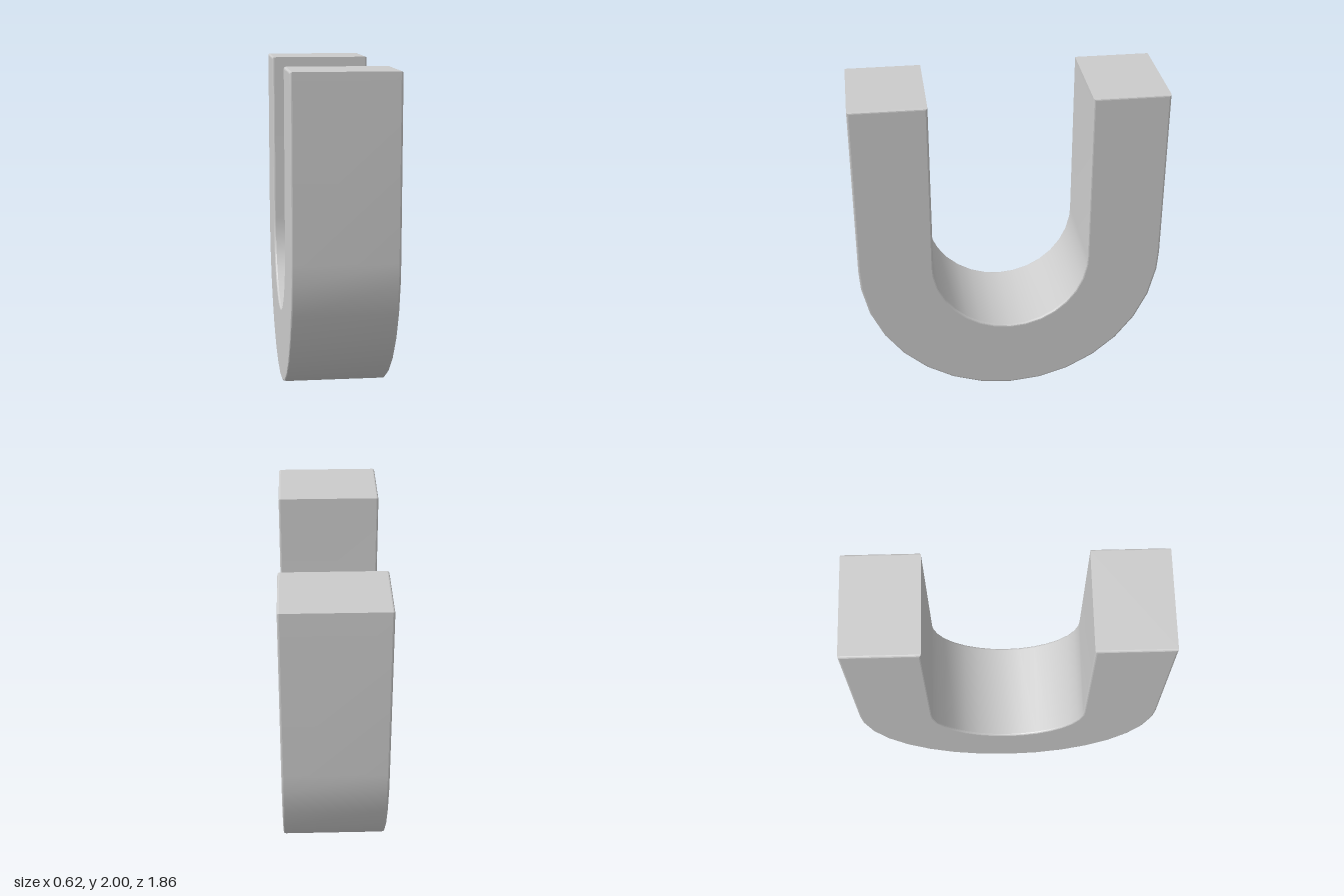
import * as THREE from 'three';
import { toCreasedNormals } from 'three/addons/utils/BufferGeometryUtils.js';

const OUTER = 0.93, INNER = 0.475, CENTRE = 0.932, TOP = 2;
const WIDTH = 0.62, BEVEL = 0.012;

// Half circle under the centre, from one leg to the other, with a vertex at the bottom
function bend(radius) {
  const points = [];
  for (let i = -8; i <= 8; i++) {
    const a = THREE.MathUtils.degToRad(Math.max(-90, Math.min(90, i * 11.75)));
    points.push(new THREE.Vector2(radius * Math.sin(a), CENTRE - radius * Math.cos(a)));
  }
  return points;
}

export function createModel() {
  const group = new THREE.Group();
  group.name = 'uShapedBar';

  // U outline: outer bend, up one leg, back along the inner bend, up the other leg
  const outline = new THREE.Shape([
    new THREE.Vector2(-OUTER, TOP),
    ...bend(OUTER),
    new THREE.Vector2(OUTER, TOP),
    new THREE.Vector2(INNER, TOP),
    ...bend(INNER).reverse(),
    new THREE.Vector2(-INNER, TOP),
  ]);

  // Extruded across the width with slightly softened edges
  const geometry = new THREE.ExtrudeGeometry(outline, {
    depth: WIDTH - 2 * BEVEL,
    bevelEnabled: true,
    bevelThickness: BEVEL,
    bevelSize: BEVEL,
    bevelOffset: -BEVEL,
    bevelSegments: 3,
  });
  geometry.translate(0, 0, BEVEL - WIDTH / 2);
  geometry.rotateY(-Math.PI / 2);

  const bar = new THREE.Mesh(
    toCreasedNormals(geometry, 0.25),
    new THREE.MeshStandardMaterial({ color: 0xcccccc })
  );
  bar.name = 'bentBar';
  group.add(bar);
  return group;
}
